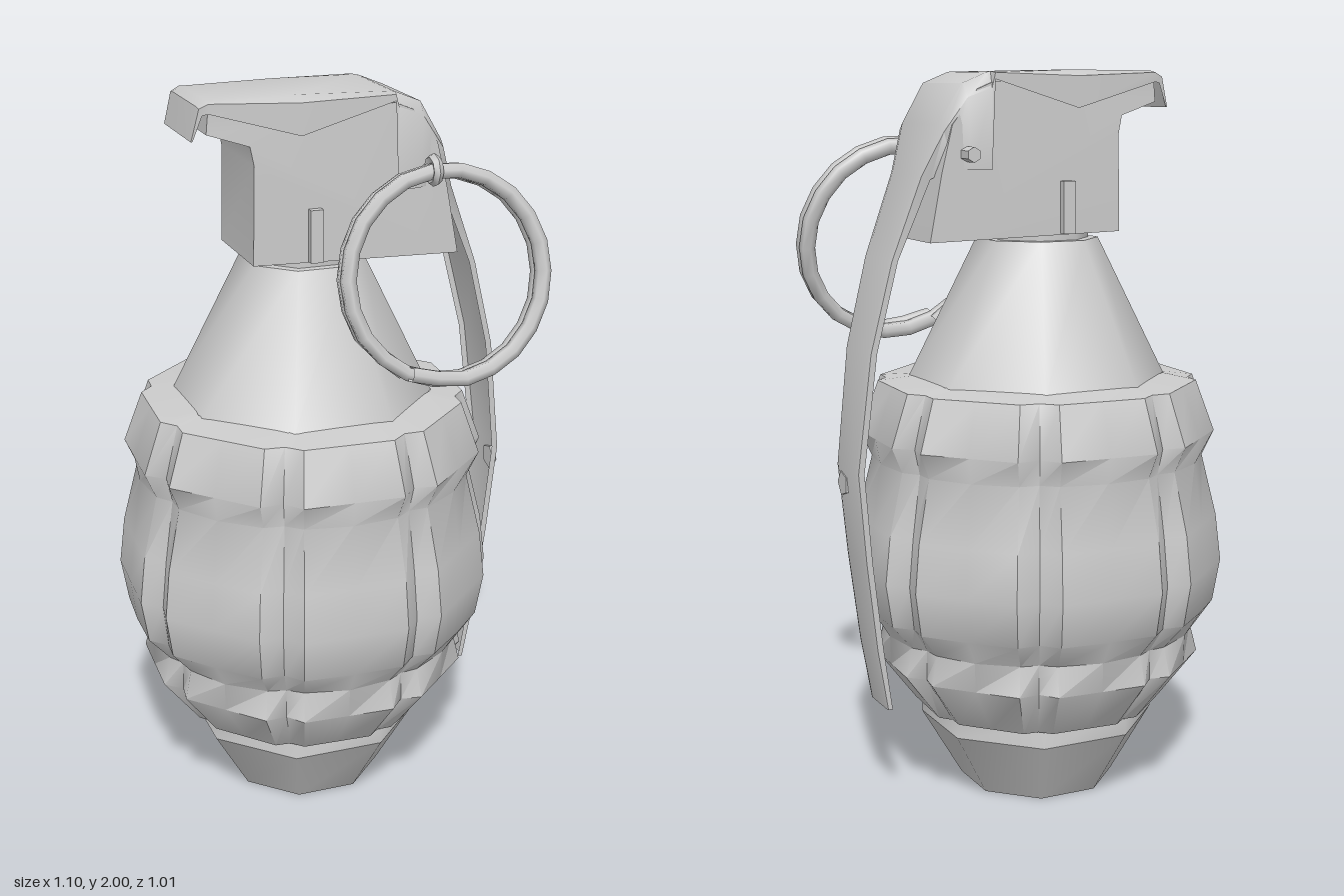
import * as THREE from 'three';
import { toCreasedNormals } from 'three/addons/utils/BufferGeometryUtils.js';

const grey = new THREE.MeshStandardMaterial({ color: 0xcccccc });
const greyThin = new THREE.MeshStandardMaterial({ color: 0xcccccc, side: THREE.DoubleSide });
const AXIS = -0.05; // x of the body's vertical axis

// Skin a list of cross-sections, each a list of [x, y, z]
function loft(rings, closed) {
  const n = rings[0].length;
  const index = [];
  for (let i = 0; i < rings.length - 1; i++) {
    for (let j = 0; j < (closed ? n : n - 1); j++) {
      const k = (j + 1) % n;
      const a = i * n + j, b = i * n + k, c = b + n, d = a + n;
      index.push(a, b, c, a, c, d);
    }
  }
  const geo = new THREE.BufferGeometry();
  geo.setAttribute('position', new THREE.Float32BufferAttribute(rings.flat(2), 3));
  geo.setIndex(index);
  return geo;
}

function add(group, name, geo, material = grey, crease = 0.85) {
  const mesh = new THREE.Mesh(crease ? toCreasedNormals(geo, crease) : geo, material);
  mesh.name = name;
  group.add(mesh);
  return mesh;
}

// Octagonal frustum with flats facing the axes; radii measured to the flats
function octagon(top, bottom, y0, y1) {
  const k = Math.cos(Math.PI / 8);
  const geo = new THREE.CylinderGeometry(top / k, bottom / k, y1 - y0, 8, 1, false, Math.PI / 8);
  return geo.translate(AXIS, (y0 + y1) / 2, 0);
}

// Eight raised plates separated by grooves, pinched at two heights
function bodyGeometry() {
  // y, plate radius, corner factor, groove factor
  const rows = [
    [0.235, 0.29, 1.04, 1.06], [0.24, 0.335, 1.04, 0.99], [0.38, 0.44, 1.04, 0.97],
    [0.46, 0.442, 0.99, 0.96], [0.53, 0.485, 1.03, 0.97], [0.65, 0.5, 1.04, 0.97],
    [0.78, 0.485, 1.04, 0.97], [0.95, 0.462, 1.0, 0.96], [1.02, 0.475, 1.04, 0.97],
    [1.16, 0.425, 1.04, 0.99], [1.172, 0.325, 1.03, 1.08],
  ];
  const rings = rows.map(([y, p, corner, groove]) => {
    const ring = [];
    for (let i = 0; i < 8; i++) {
      for (const [deg, f] of [[-16, corner], [0, 1], [16, corner], [22.5, groove]]) {
        const a = THREE.MathUtils.degToRad(i * 45 + deg);
        ring.push([p * f * Math.sin(a), y, p * f * Math.cos(a)]);
      }
    }
    return ring;
  });
  return loft(rings, true).rotateY(-0.05).translate(AXIS, 0, 0);
}

// Fuze block: side profile extruded across z, narrowing toward its nose
function headGeometry() {
  const profile = [[-0.23, 1.57], [0.335, 1.56], [0.3, 1.74], [0.27, 1.86], [0.2, 1.95],
    [0.15, 1.97], [-0.34, 1.97], [-0.345, 1.915], [-0.235, 1.88], [-0.225, 1.83]];
  const shape = new THREE.Shape(profile.map(([x, y]) => new THREE.Vector2(x, y)));
  const geo = new THREE.ExtrudeGeometry(shape, { depth: 2, bevelEnabled: false }).translate(0, 0, -1);
  const pos = geo.attributes.position;
  for (let i = 0; i < pos.count; i++) {
    const half = Math.min(0.158, 0.122 + (pos.getX(i) + 0.38) * 0.12);
    pos.setZ(i, pos.getZ(i) * half);
  }
  return geo;
}

// Folded sheet lever: channel over the head, then a long curved strip
function leverGeometry() {
  // x, y of the spine, half width, and offset (dx, dy) to the flange edge
  const stations = [
    [-0.385, 1.9, 0.125, 0.005, 0], [-0.365, 1.985, 0.13, 0.01, -0.02], [-0.34, 1.998, 0.135, 0, -0.03],
    [-0.1, 2.0, 0.15, 0, -0.1], [0.15, 1.995, 0.163, 0, -0.02], [0.16, 1.993, 0.163, 0, -0.25],
    [0.23, 1.965, 0.163, -0.01, -0.22], [0.295, 1.86, 0.15, -0.03, -0.11], [0.34, 1.73, 0.105, -0.03, -0.01],
    [0.42, 1.51, 0.095, -0.02, 0], [0.48, 1.27, 0.09, -0.02, 0], [0.517, 0.95, 0.08, -0.02, 0],
    [0.495, 0.7, 0.073, -0.02, 0], [0.465, 0.45, 0.067, -0.02, 0], [0.435, 0.28, 0.063, -0.015, 0],
  ];
  const section = [[-1, 1], [-1, 0.16], [-0.8, 0], [0.8, 0], [1, 0.16], [1, 1]];
  return loft(stations.map(([x, y, w, dx, dy]) =>
    section.map(([s, f]) => [x + dx * f, y + dy * f, -s * w])), false);
}

// Split ring: two low-sided coils of wire
function ringGeometry() {
  const points = [];
  for (let i = 0; i <= 22; i++) {
    const t = i / 22, a = -Math.PI * 0.65 + t * Math.PI * 4;
    points.push(new THREE.Vector3(0.272 * Math.cos(a), 0.272 * Math.sin(a), 0.055 * (0.5 - t)));
  }
  const path = new THREE.CurvePath();
  for (let i = 0; i < 22; i++) path.add(new THREE.LineCurve3(points[i], points[i + 1]));
  return new THREE.TubeGeometry(new THREE.CatmullRomCurve3(points), 44, 0.022, 6, false);
}

export function createModel() {
  const model = new THREE.Group();
  model.name = 'grenade';

  // Casing
  add(model, 'baseLower', octagon(0.305, 0.2, 0, 0.19));
  add(model, 'baseRim', octagon(0.3, 0.305, 0.19, 0.245));
  add(model, 'body', bodyGeometry(), grey, 0.7);
  add(model, 'shoulder', octagon(0.155, 0.33, 1.165, 1.55));
  add(model, 'neck', octagon(0.13, 0.13, 1.54, 1.58));

  // Fuze head with a small rib on each side
  add(model, 'fuzeHead', headGeometry(), grey, 0.6);
  for (const side of [-1, 1]) {
    const rib = add(model, 'headRib', new THREE.BoxGeometry(0.035, 0.14, 0.02));
    rib.position.set(-0.065, 1.64, side * 0.157);
  }

  // Lever and its rivet
  add(model, 'lever', leverGeometry(), greyThin, 0.8);
  const rivet = add(model, 'leverRivet', new THREE.CylinderGeometry(0.035, 0.035, 0.012, 5));
  rivet.rotation.z = Math.PI / 2;
  rivet.position.set(0.512, 0.905, 0.035);

  // Pin through the head, with an eye holding the ring
  const pin = add(model, 'pin', new THREE.CylinderGeometry(0.02, 0.02, 0.43, 6));
  pin.rotation.x = Math.PI / 2;
  pin.position.set(0.23, 1.785, 0.01);
  const eye = add(model, 'pinEye', new THREE.TorusGeometry(0.03, 0.014, 5, 8));
  eye.rotation.y = Math.PI / 2;
  eye.position.set(0.23, 1.805, 0.228);

  // Pull ring hanging tilted outward
  const ring = add(model, 'pullRing', ringGeometry(), greyThin, 0);
  ring.rotation.x = -0.2;
  ring.position.set(0.25, 1.535, 0.275);

  return model;
}
